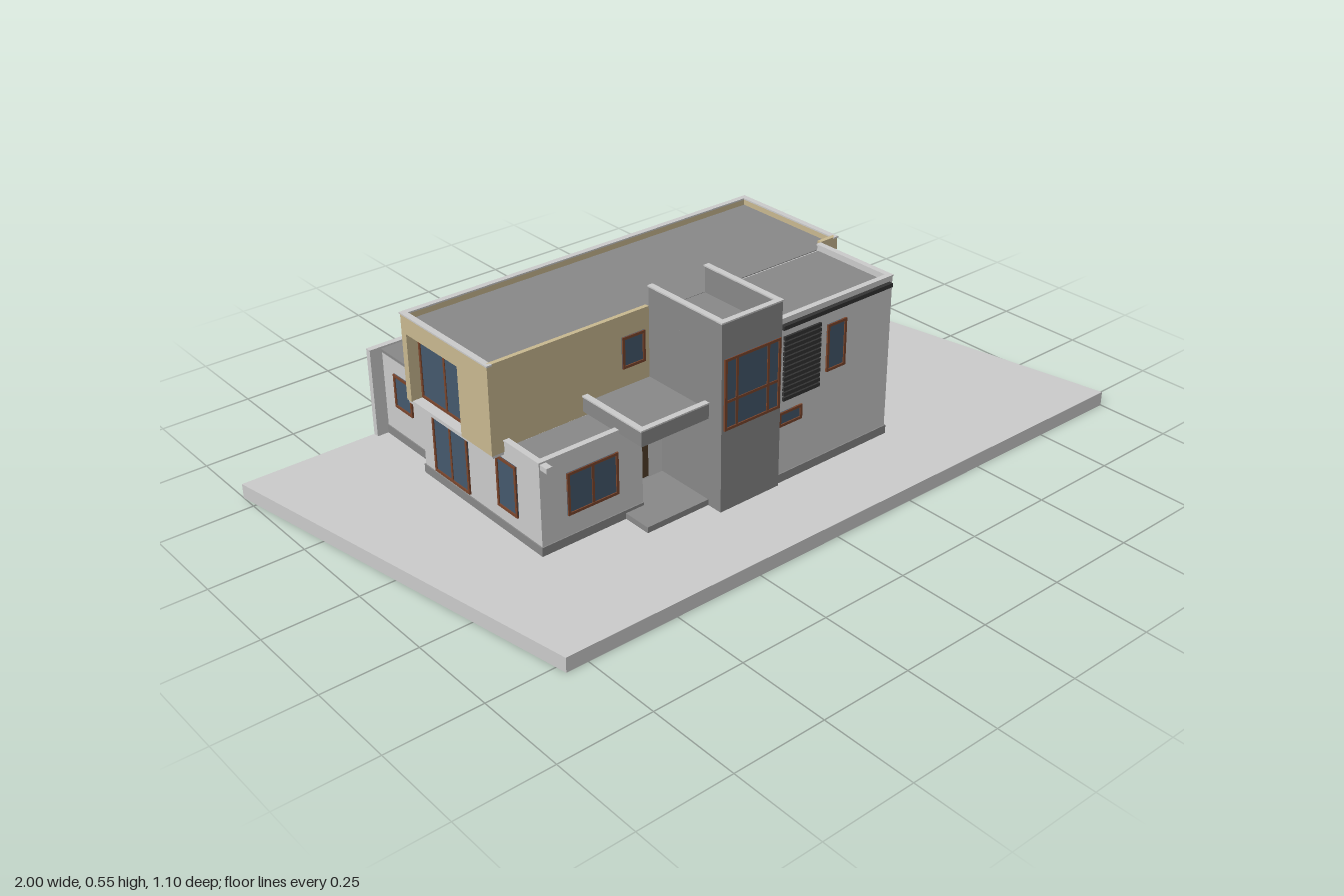
import * as THREE from 'three';

const mat = (name, color) => {
  const m = new THREE.MeshStandardMaterial({ color });
  m.name = name;
  return m;
};

export function createModel() {
  const M = {
    wall: mat('light render', 0xcbcbcb), dark: mat('dark grey render', 0x888888),
    tan: mat('tan cladding', 0xc8b890), glass: mat('window glass', 0x44586c),
    frame: mat('brown frame', 0x7a452c), door: mat('dark wood', 0x513d28),
    black: mat('black metal', 0x333333),
  };
  const house = new THREE.Group();
  house.name = 'house';

  // box from its limits on each axis
  function box(name, m, x0, x1, y0, y1, z0, z1, parent = house) {
    const mesh = new THREE.Mesh(new THREE.BoxGeometry(x1 - x0, y1 - y0, z1 - z0), m);
    mesh.position.set((x0 + x1) / 2, (y0 + y1) / 2, (z0 + z1) / 2);
    mesh.name = name;
    parent.add(mesh);
    return mesh;
  }

  // parapet round a flat roof; sides lists the edges that have one
  function parapet(name, m, x0, x1, y0, y1, z0, z1, sides = 'fblr', t = 0.012) {
    const edges = { f: [x0, x1, z1 - t, z1], b: [x0, x1, z0, z0 + t], l: [x0, x0 + t, z0, z1], r: [x1 - t, x1, z0, z1] };
    for (const s of sides) {
      const [a, b, c, d] = edges[s];
      box(name + 'Parapet', m, a, b, y0, y1 - 0.004, c, d);
      box(name + 'Coping', M.wall, a - 0.002, b + 0.002, y1 - 0.004, y1, c - 0.002, d + 0.002);
    }
    box(name + 'Roof', M.dark, x0 + 0.003, x1 - 0.003, y0 - 0.005, y0 + 0.002, z0 + 0.003, z1 - 0.003);
  }

  // group lying on a wall: u runs along the wall, plane is the wall's position
  const turns = { front: 0, right: Math.PI / 2, back: Math.PI, left: -Math.PI / 2 };
  function onWall(name, face, u0, u1, y0, y1, plane) {
    const g = new THREE.Group();
    const u = (u0 + u1) / 2, along = face === 'front' || face === 'back';
    g.position.set(along ? u : plane, (y0 + y1) / 2, along ? plane : u);
    g.rotation.y = turns[face];
    g.name = name;
    house.add(g);
    return g;
  }

  // framed window; cols and rows are bar positions as fractions
  function framed(name, face, u0, u1, y0, y1, plane, cols = [], rows = [], t = 0.007, bar = M.frame) {
    const g = onWall(name, face, u0, u1, y0, y1, plane);
    const w = (u1 - u0) / 2, h = (y1 - y0) / 2;
    box('glass', M.glass, -w, w, -h, h, -0.002, 0.002, g);
    for (const s of [-1, 1]) {
      box('frameSide', bar, s * (w - t / 2) - t / 2, s * (w - t / 2) + t / 2, -h, h, -0.002, 0.005, g);
      box('frameRail', bar, -w, w, s * (h - t / 2) - t / 2, s * (h - t / 2) + t / 2, -0.002, 0.005, g);
    }
    for (const c of cols) {
      const x = -w + 2 * w * c;
      box('mullion', bar, x - t / 2, x + t / 2, -h, h, -0.002, 0.004, g);
    }
    for (const r of rows) {
      const y = -h + 2 * h * r;
      box('transom', bar, -w, w, y - t / 2, y + t / 2, -0.002, 0.004, g);
    }
    return g;
  }

  // louvred screen
  function louvres(name, face, u0, u1, y0, y1, plane) {
    const g = onWall(name, face, u0, u1, y0, y1, plane);
    const w = (u1 - u0) / 2, h = (y1 - y0) / 2, n = 13;
    for (let i = 0; i < n; i++) {
      const y = -h + (2 * h * (i + 0.5)) / n;
      box('slat', M.black, -w, w, y - h / n * 0.72, y + h / n * 0.72, -0.002, 0.006, g);
    }
  }

  // skewed ground slab
  const plot = new THREE.Shape([[-0.81, -0.53], [1, -0.545], [0.8, 0.545], [-1, 0.55]].map(p => new THREE.Vector2(...p)));
  const slab = new THREE.Mesh(new THREE.ExtrudeGeometry(plot, { depth: 0.04, bevelEnabled: false }), M.wall);
  slab.rotation.x = -Math.PI / 2;
  slab.name = 'groundSlab';
  house.add(slab);

  // lower storey, front wings and plinths
  box('lowerStorey', M.wall, -0.62, 0.39, 0.04, 0.262, -0.3, 0.05);
  box('lowerPlinth', M.dark, -0.623, 0.393, 0.04, 0.064, -0.303, 0.052);
  box('rightWing', M.wall, 0, 0.39, 0.04, 0.475, 0.045, 0.31);
  box('rightWingPlinth', M.dark, 0, 0.393, 0.04, 0.064, 0.045, 0.313);
  parapet('rightWing', M.wall, 0.005, 0.39, 0.475, 0.495, 0.055, 0.31, 'fr');
  box('leftWing', M.wall, -0.62, -0.32, 0.04, 0.27, 0.045, 0.19);
  box('leftWingPlinth', M.dark, -0.623, -0.32, 0.04, 0.064, 0.045, 0.193);
  parapet('leftWing', M.wall, -0.62, -0.32, 0.27, 0.292, 0.055, 0.19, 'fl');
  box('waterSpout', M.wall, -0.617, -0.6, 0.272, 0.286, 0.19, 0.215);

  // porch
  box('porchStep', M.dark, -0.375, -0.18, 0.04, 0.056, 0.05, 0.275);
  box('porchCanopy', M.dark, -0.39, -0.18, 0.282, 0.305, 0.05, 0.275);
  parapet('canopy', M.dark, -0.39, -0.185, 0.305, 0.326, 0.055, 0.275, 'fl');
  box('porchWall', M.wall, -0.32, -0.18, 0.04, 0.282, 0.045, 0.1);
  box('frontDoor', M.door, -0.312, -0.234, 0.064, 0.232, 0.1, 0.106);
  box('doorHandle', M.wall, -0.306, -0.3, 0.14, 0.15, 0.106, 0.112);

  // stair tower, open at the back of its parapet
  box('stairTower', M.dark, -0.185, 0.005, 0.04, 0.476, 0.05, 0.32);
  parapet('tower', M.dark, -0.185, 0.005, 0.476, 0.552, 0.055, 0.32, 'flr');

  // overhanging upper storey with recessed glazed ends
  box('upperStorey', M.tan, -0.62, 0.425, 0.26, 0.475, -0.305, 0.055);
  box('upperFloorEdge', M.wall, -0.652, 0.447, 0.252, 0.262, -0.302, 0.053);
  box('rightLintel', M.tan, 0.42, 0.45, 0.445, 0.475, -0.305, 0.055);
  box('rightCheekFront', M.tan, 0.42, 0.45, 0.26, 0.445, 0.05, 0.055);
  box('rightCheekBack', M.tan, 0.42, 0.45, 0.26, 0.445, -0.305, -0.29);
  box('leftLintel', M.tan, -0.655, -0.615, 0.445, 0.475, -0.305, 0.055);
  box('leftCheekFront', M.tan, -0.655, -0.615, 0.26, 0.445, -0.07, 0.055);
  box('leftCheekBack', M.tan, -0.655, -0.615, 0.26, 0.445, -0.305, -0.285);
  parapet('upper', M.tan, -0.655, 0.45, 0.475, 0.497, -0.305, 0.055, 'blr');
  box('upperFrontEdgeLeft', M.tan, -0.655, -0.185, 0.475, 0.497, 0.043, 0.055);
  box('upperFrontEdgeRight', M.tan, 0.39, 0.45, 0.475, 0.497, 0.043, 0.055);
  box('frontGutter', M.black, 0.01, 0.38, 0.468, 0.479, 0.31, 0.322);
  box('backGutter', M.black, -0.56, 0.38, 0.465, 0.477, -0.317, -0.305);
  box('downpipe', M.black, -0.32, -0.312, 0.28, 0.47, -0.311, -0.305);

  // rear annex with its long back wall
  box('annex', M.wall, -0.585, -0.145, 0.04, 0.278, -0.535, -0.295);
  box('annexPlinth', M.dark, -0.588, -0.142, 0.04, 0.064, -0.535, -0.295);
  box('annexRoof', M.dark, -0.588, -0.142, 0.278, 0.286, -0.535, -0.3);
  box('annexBackWall', M.wall, -0.62, -0.12, 0, 0.291, -0.549, -0.532);
  for (const x of [-0.425, -0.31]) {
    box('skylightFrame', M.wall, x - 0.02, x + 0.02, 0.284, 0.29, -0.488, -0.382);
    box('skylightGlass', M.glass, x - 0.013, x + 0.013, 0.288, 0.293, -0.48, -0.39);
  }

  // front openings
  framed('leftWingWindow', 'front', -0.545, -0.395, 0.12, 0.235, 0.19, [0.5]);
  framed('upperFrontWindow', 'front', -0.27, -0.2, 0.355, 0.44, 0.055);
  framed('towerWindow', 'front', -0.178, -0.001, 0.265, 0.456, 0.32, [0.22, 0.78], [0.4]);
  framed('smallFrontWindow', 'front', 0.008, 0.086, 0.2, 0.24, 0.31);
  framed('tallFrontWindow', 'front', 0.165, 0.23, 0.3, 0.43, 0.31);
  louvres('frontLouvres', 'front', 0.02, 0.142, 0.268, 0.447, 0.31);

  // openings on the +x side
  framed('sideUpperWindow', 'right', 0.16, 0.23, 0.297, 0.43, 0.39);
  framed('sideLowerWindow', 'right', 0.08, 0.23, 0.143, 0.235, 0.39, [0.5]);
  framed('sideLargeWindow', 'right', -0.208, -0.057, 0.095, 0.237, 0.39, [0.5]);
  framed('glazedEnd', 'right', -0.29, 0.05, 0.263, 0.445, 0.425, [0.23, 0.77], [0.42]);
  const doors = framed('annexDoors', 'right', -0.492, -0.338, 0.065, 0.226, -0.145, [0.13, 0.28, 0.72, 0.87], [0.22, 0.44, 0.66, 0.92], 0.004, M.door);
  box('doorPanel', M.door, -0.034, 0.034, -0.08, -0.01, 0, 0.006, doors);
  box('doorHead', M.door, -0.077, 0.077, 0.065, 0.08, 0, 0.006, doors);

  // openings at the back
  framed('backUpperWindow', 'back', 0.18, 0.38, 0.34, 0.45, -0.305, [0.33, 0.67]);
  framed('backLargeWindow', 'back', -0.18, 0.1, 0.3, 0.45, -0.305, [0.25, 0.75], [0.42]);
  louvres('backLouvres', 'back', -0.295, -0.2, 0.275, 0.455, -0.305);
  framed('backSmallWindow', 'back', -0.52, -0.45, 0.355, 0.45, -0.305);
  framed('backLowerWindow', 'back', 0.19, 0.34, 0.145, 0.237, -0.3, [0.5]);
  framed('backDoor', 'back', -0.06, 0.09, 0.07, 0.237, -0.3, [0.5]);

  // openings on the -x side
  framed('leftGlazedEnd', 'left', -0.285, -0.07, 0.263, 0.445, -0.62, [0.5]);
  framed('leftLargeWindow', 'left', -0.25, -0.1, 0.07, 0.24, -0.62, [0.5]);
  framed('leftTallWindow', 'left', 0.02, 0.1, 0.1, 0.24, -0.62);
  framed('annexWindow', 'left', -0.48, -0.4, 0.14, 0.235, -0.585);

  return house;
}
